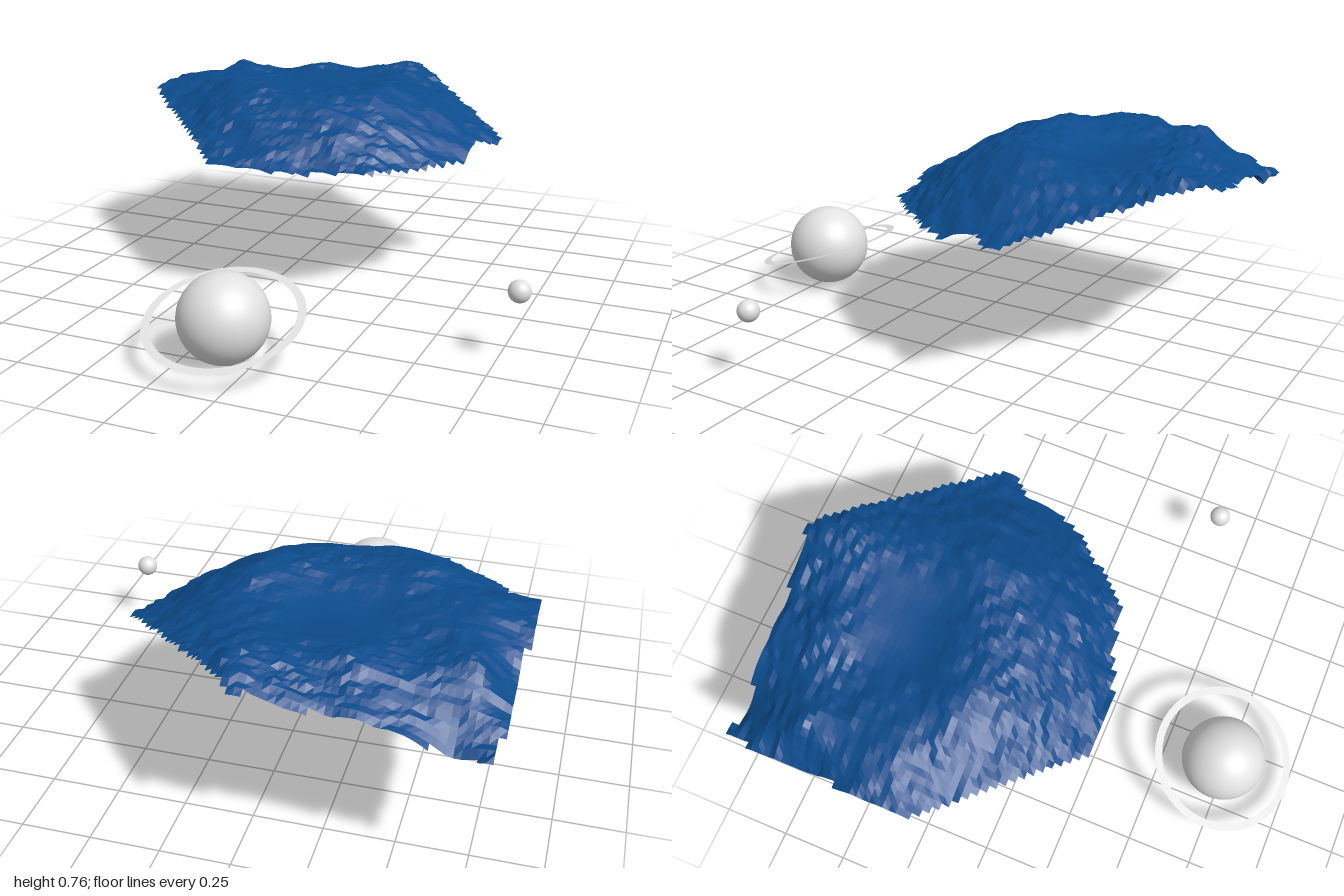
import * as THREE from 'three';

const blue = new THREE.MeshStandardMaterial({ color: 0x0c4b8c, flatShading: true, side: THREE.DoubleSide });
blue.name = 'terrainBlue';
const grey = new THREE.MeshStandardMaterial({ color: 0xe2e2e2, side: THREE.DoubleSide });
grey.name = 'planetGrey';

// outline of the terrain sheet (x, z)
const outline = [
  [-0.81, -0.95], [-0.76, -0.95], [-0.76, -0.93], [-0.61, -0.93], [-0.61, -0.95], [-0.27, -0.95],
  [-0.25, -0.98], [0.0, -0.99], [0.53, -0.46], [0.53, -0.39],
  [0.455, -0.32], [0.455, -0.17], [0.38, -0.05], [0.2, 0.16], [0.0, 0.21], [-0.16, 0.28],
  [-0.39, 0.28], [-0.86, -0.19], [-0.86, -0.46], [-0.835, -0.58], [-0.835, -0.85], [-0.81, -0.85],
];

// guide heights (x, z, y): slopes, ridges and the shallow basin
const guides = [
  // rim
  [-0.81, -0.94, 0.565], [-0.69, -0.93, 0.535], [-0.55, -0.95, 0.6], [-0.28, -0.95, 0.65], [0, -1, 0.695],
  [0.2, -0.8, 0.66], [0.4, -0.59, 0.6], [0.53, -0.43, 0.55], [0.45, -0.2, 0.535], [0.32, 0, 0.535],
  [0.2, 0.17, 0.53], [0, 0.22, 0.53], [-0.18, 0.29, 0.53], [-0.38, 0.29, 0.535], [-0.46, 0.21, 0.575],
  [-0.62, 0.06, 0.61], [-0.78, -0.11, 0.65], [-0.87, -0.2, 0.69], [-0.87, -0.45, 0.69], [-0.84, -0.63, 0.61],
  [-0.84, -0.8, 0.6],
  // ridges and inner slopes
  [-0.48, -0.18, 0.765], [-0.2, -0.17, 0.755], [0.08, -0.25, 0.755], [0.1, -0.4, 0.745], [0.28, -0.4, 0.675],
  [0.28, -0.12, 0.62], [0.02, 0.04, 0.655], [-0.38, 0, 0.715], [-0.26, 0.11, 0.64], [-0.6, -0.06, 0.68],
  [-0.72, -0.35, 0.735], [-0.72, -0.67, 0.725], [-0.55, -0.6, 0.705], [-0.36, -0.74, 0.73], [-0.18, -0.77, 0.715],
  [0.01, -0.85, 0.74], [0.09, -0.6, 0.705],
  // basin floor
  [-0.35, -0.55, 0.7], [-0.12, -0.55, 0.7], [-0.35, -0.4, 0.703], [-0.12, -0.4, 0.703],
];

function inside(x, z) {
  let hit = false;
  outline.forEach(([ax, az], i) => {
    const [bx, bz] = outline[(i + 1) % outline.length];
    if ((az > z) !== (bz > z) && x < ax + ((z - az) / (bz - az)) * (bx - ax)) hit = !hit;
  });
  return hit;
}

// smooth surface through all guides: radial weights found by elimination
const BASE = 0.65;
const radial = (x, z, [gx, gz]) => Math.hypot(x - gx, z - gz, 0.04);
function solveWeights() {
  const n = guides.length;
  const rows = guides.map(([x, z, y]) => [...guides.map((g) => radial(x, z, g)), y - BASE]);
  for (let c = 0; c < n; c++) {
    let pivot = c;
    for (let r = c + 1; r < n; r++) if (Math.abs(rows[r][c]) > Math.abs(rows[pivot][c])) pivot = r;
    [rows[c], rows[pivot]] = [rows[pivot], rows[c]];
    for (let r = 0; r < n; r++) {
      if (r === c) continue;
      const f = rows[r][c] / rows[c][c];
      for (let k = c; k <= n; k++) rows[r][k] -= f * rows[c][k];
    }
  }
  return rows.map((row, i) => row[n] / row[i]);
}
const weights = solveWeights();

// repeatable value noise, -1 to 1
function hash(i, j) {
  const s = Math.sin(i * 127.1 + j * 311.7) * 43758.5453;
  return (s - Math.floor(s)) * 2 - 1;
}
function noise(x, z) {
  const i = Math.floor(x), j = Math.floor(z);
  const u = THREE.MathUtils.smoothstep(x - i, 0, 1), v = THREE.MathUtils.smoothstep(z - j, 0, 1);
  const lerp = THREE.MathUtils.lerp;
  return lerp(lerp(hash(i, j), hash(i + 1, j), u), lerp(hash(i, j + 1), hash(i + 1, j + 1), u), v);
}

function height(x, z) {
  const smooth = guides.reduce((sum, g, i) => sum + weights[i] * radial(x, z, g), BASE);
  // the basin floor stays smooth, the rest is rugged
  const d = Math.max(Math.abs(x + 0.23) - 0.17, Math.abs(z + 0.49) - 0.14);
  const rough = 0.1 + 0.9 * THREE.MathUtils.smoothstep(d, -0.02, 0.06);
  return smooth + rough * (0.005 * noise(x * 10, z * 12) + 0.01 * noise(x * 22 + 7, z * 40 + 3));
}

// sheet of square cells; cells outside the outline are left out, giving a stepped rim
function terrainGeometry(step = 0.0245) {
  const points = [];
  for (let z = -1; z < 0.3; z += step) {
    for (let x = -0.865; x < 0.54; x += step) {
      if (!inside(x + step / 2, z + step / 2)) continue;
      const corner = (dx, dz) => [x + dx, height(x + dx, z + dz), z + dz];
      const a = corner(0, 0), b = corner(0, step), c = corner(step, step), d = corner(step, 0);
      points.push(...a, ...b, ...d, ...b, ...c, ...d);
    }
  }
  const geometry = new THREE.BufferGeometry();
  geometry.setAttribute('position', new THREE.Float32BufferAttribute(points, 3));
  geometry.computeVertexNormals();
  return geometry;
}

export function createModel() {
  const model = new THREE.Group();
  const add = (name, geometry, material, x = 0, y = 0, z = 0) => {
    const mesh = new THREE.Mesh(geometry, material);
    mesh.name = name;
    mesh.position.set(x, y, z);
    model.add(mesh);
    return mesh;
  };

  add('terrain', terrainGeometry(), blue);

  // ringed planet, with the ring tipped towards the front
  add('planet', new THREE.SphereGeometry(0.161, 48, 32), grey, -0.102, 0.166, 0.728);
  const ring = add('planetRing', new THREE.RingGeometry(0.252, 0.282, 48), grey, -0.102, 0.166, 0.728);
  ring.rotation.x = -Math.PI / 2 + 0.29;

  add('moon', new THREE.SphereGeometry(0.04, 32, 24), grey, 0.818, 0.267, 0.367);
  return model;
}
